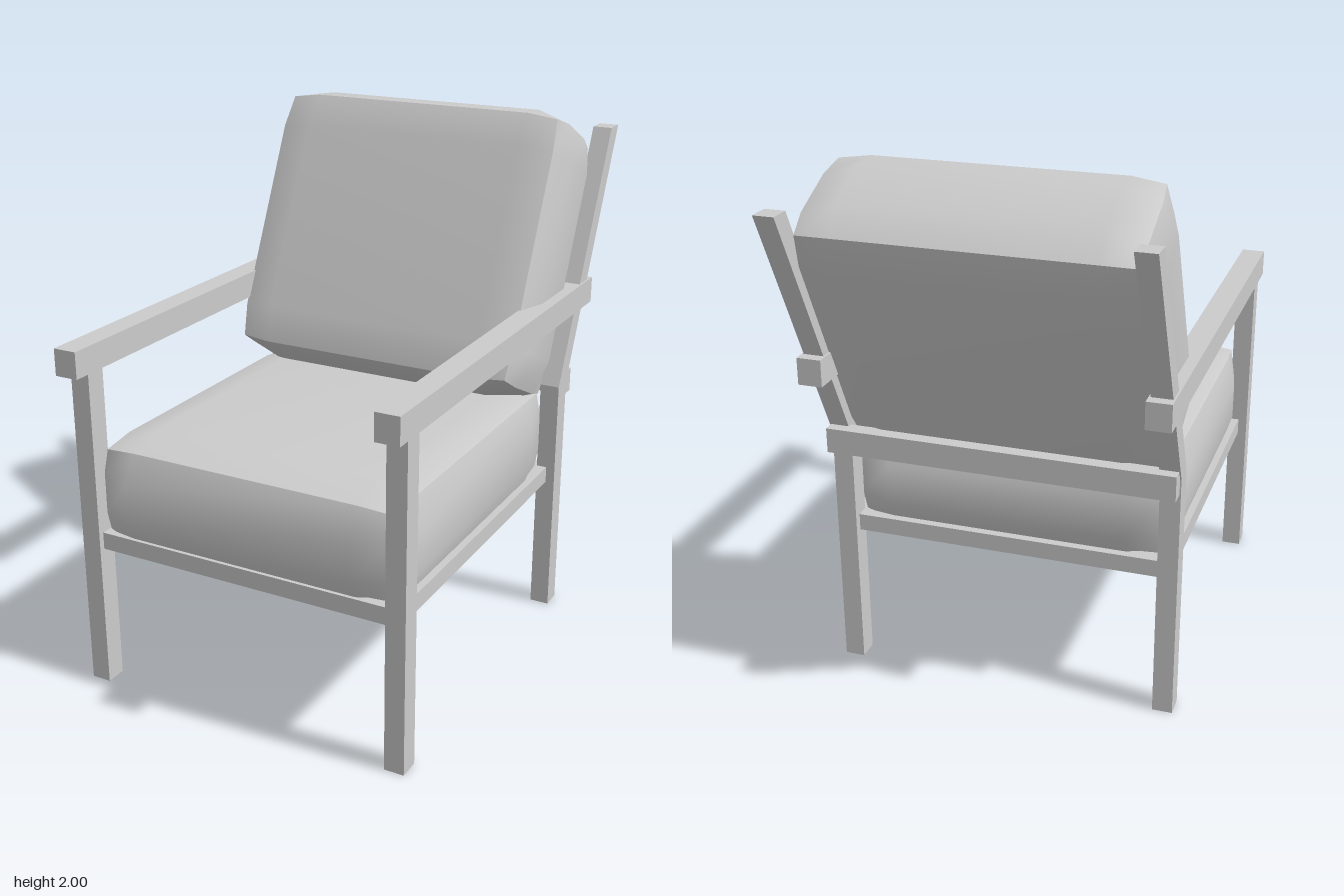
import * as THREE from 'three';

const material = new THREE.MeshStandardMaterial({ color: 0xcccccc });

function add(parent, name, geometry) {
  const mesh = new THREE.Mesh(geometry, material);
  mesh.name = name;
  parent.add(mesh);
  return mesh;
}

// Box given by its [min, max] range on each axis
function bar(parent, name, [x0, x1], [y0, y1], [z0, z1]) {
  const mesh = add(parent, name, new THREE.BoxGeometry(x1 - x0, y1 - y0, z1 - z0));
  mesh.position.set((x0 + x1) / 2, (y0 + y1) / 2, (z0 + z1) / 2);
  return mesh;
}

// Pillow: a 3x3x3 box whose faces bulge and whose edges and corners draw in.
// face, edge and mid are half sizes [x, y, z]; creases stay along the box edges.
function cushionGeometry(face, edge, mid) {
  const geometry = new THREE.BoxGeometry(2, 2, 2, 3, 3, 3);
  const pos = geometry.attributes.position;
  for (let i = 0; i < pos.count; i++) {
    const p = [pos.getX(i), pos.getY(i), pos.getZ(i)];
    const outer = p.filter((v) => Math.abs(v) > 0.9).length;
    const q = p.map((v, a) => {
      const isOuter = Math.abs(v) > 0.9;
      const half = !isOuter ? mid[a] : outer === 1 ? face[a] : outer === 2 ? edge[a] : edge[a] - 0.012;
      return Math.sign(v) * half;
    });
    pos.setXYZ(i, ...q);
  }
  geometry.computeVertexNormals();
  return geometry;
}

// Rear leg that bends into the leaning back post, drawn in side profile
function backPostGeometry() {
  const shape = new THREE.Shape([
    [0.43, 0], [0.51, 0], [0.51, 0.957], [0.963, 1.9], [0.883, 1.9], [0.43, 0.957],
  ].map(([x, y]) => new THREE.Vector2(x, y)));
  const geometry = new THREE.ExtrudeGeometry(shape, { depth: 0.075, bevelEnabled: false });
  geometry.translate(0, 0, -0.0375);
  geometry.rotateY(Math.PI / 2);
  return geometry;
}

export function createModel() {
  const chair = new THREE.Group();
  chair.name = 'armchair';

  // Side frames
  for (const [side, s] of [['left', 1], ['right', -1]]) {
    const frame = new THREE.Group();
    frame.name = side + 'Frame';
    frame.position.x = s * 0.6175;
    bar(frame, 'frontLeg', [-0.0375, 0.0375], [0, 1.23], [0.82, 0.9]);
    add(frame, 'backPost', backPostGeometry());
    bar(frame, 'armrest', [-0.045, 0.045], [1.23, 1.33], [-0.73, 0.97]);
    chair.add(frame);
  }

  // Seat board and the rail across the back
  bar(chair, 'seatBoard', [-0.62, 0.62], [0.545, 0.61], [-0.48, 0.878]);
  bar(chair, 'backRail', [-0.65, 0.65], [0.9, 0.995], [-0.57, -0.51]);

  // Cushions
  const seat = add(chair, 'seatCushion',
    cushionGeometry([0.615, 0.215, 0.695], [0.582, 0.18, 0.637], [0.45, 0.075, 0.48]));
  seat.position.set(0, 0.755, 0.208);

  const back = add(chair, 'backCushion',
    cushionGeometry([0.62, 0.555, 0.243], [0.58, 0.51, 0.21], [0.45, 0.372, 0.1]));
  back.position.set(0, 1.45, -0.471);
  back.rotation.x = -0.445;

  return chair;
}
